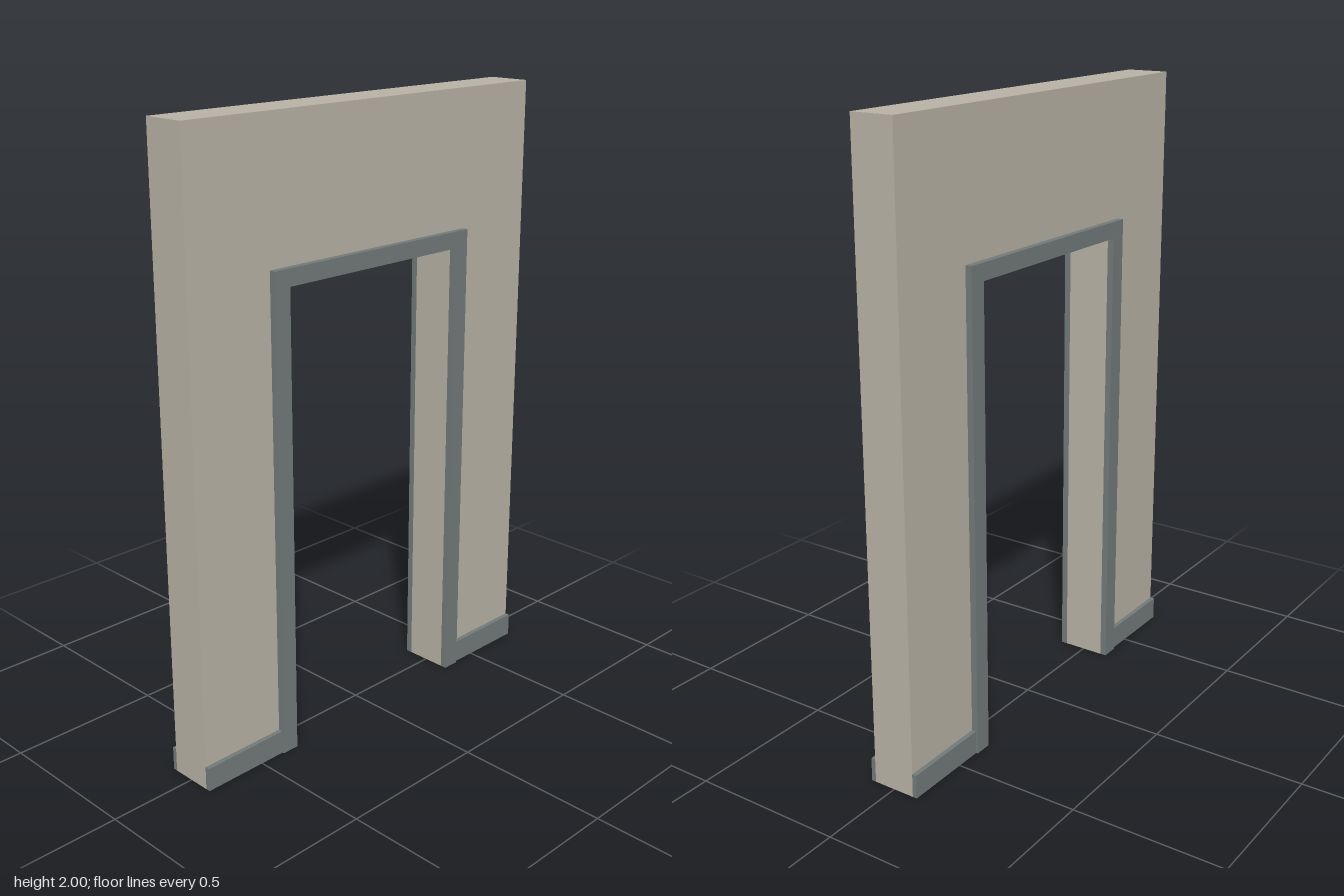
import * as THREE from 'three';

const HALF_W = 0.713, HEIGHT = 2, WALL_Z = 0.071;   // wall
const OPEN_X = 0.356, OPEN_Y = 1.503;               // doorway
const CASE_X = 0.414, CASE_Y = 1.557, CASE_Z = 0.092; // casing outer limits
const BASE_Y = 0.077, BASE_Z = 0.086;               // baseboard

export function createModel() {
  const group = new THREE.Group();
  const plaster = new THREE.MeshStandardMaterial({ color: 0xb8b2a5 });
  const trim = new THREE.MeshStandardMaterial({ color: 0x727a79 });

  // Box between two opposite corners
  const block = (name, material, [x0, x1], [y0, y1], [z0, z1]) => {
    const mesh = new THREE.Mesh(
      new THREE.BoxGeometry(Math.abs(x1 - x0), y1 - y0, Math.abs(z1 - z0)), material);
    mesh.position.set((x0 + x1) / 2, (y0 + y1) / 2, (z0 + z1) / 2);
    mesh.name = name;
    group.add(mesh);
  };

  // Wall above the doorway
  block('wallHeader', plaster, [-OPEN_X, OPEN_X], [OPEN_Y, HEIGHT], [-WALL_Z, WALL_Z]);

  for (const [side, sx] of [['left', 1], ['right', -1]]) {
    // Wall beside the doorway
    block(`${side}Wall`, plaster, [sx * OPEN_X, sx * HALF_W], [0, HEIGHT], [-WALL_Z, WALL_Z]);

    // Upright casing and baseboard on both faces
    for (const [face, sz] of [['Front', 1], ['Back', -1]]) {
      block(`${side}${face}Casing`, trim,
        [sx * OPEN_X, sx * CASE_X], [0, OPEN_Y], [sz * WALL_Z, sz * CASE_Z]);
      block(`${side}${face}Baseboard`, trim,
        [sx * CASE_X, sx * HALF_W], [0, BASE_Y], [sz * WALL_Z, sz * BASE_Z]);
    }
  }

  // Head casing across the top of the doorway
  for (const [face, sz] of [['front', 1], ['back', -1]]) {
    block(`${face}HeadCasing`, trim,
      [-CASE_X, CASE_X], [OPEN_Y, CASE_Y], [sz * WALL_Z, sz * CASE_Z]);
  }
  return group;
}
